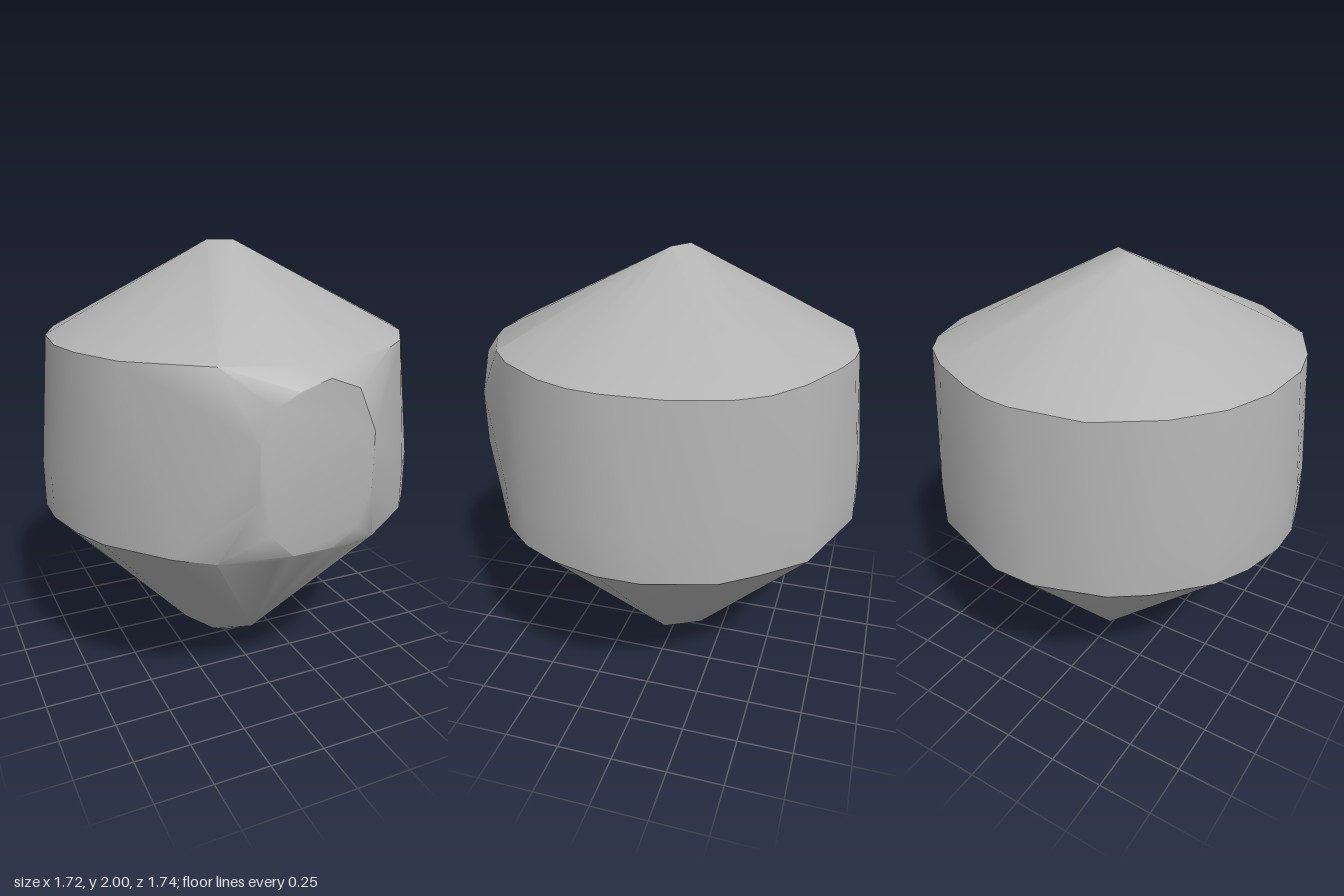
import * as THREE from 'three';
import { ConvexGeometry } from 'three/addons/geometries/ConvexGeometry.js';
import { toCreasedNormals } from 'three/addons/utils/BufferGeometryUtils.js';

// places an [x, z] outline at height y
const ring = (outline, y) => outline.map(([x, z]) => new THREE.Vector3(x, y, z));

export function createModel() {
  const grey = new THREE.MeshStandardMaterial({ color: 0xb4b4b4 });
  grey.name = 'grey';

  // rim under the upper cone
  const rim = [
    [0.8, 0.06], [0.79, -0.2], [0.72, -0.43], [0.64, -0.55], [0.49, -0.66], [0.25, -0.77],
    [0.12, -0.81], [0, -0.82], [-0.32, -0.77], [-0.56, -0.6], [-0.71, -0.41], [-0.79, -0.2],
    [-0.81, 0.06], [-0.77, 0.25], [-0.66, 0.48], [-0.36, 0.73], [-0.12, 0.8], [0.12, 0.8],
    [0.24, 0.77], [0.44, 0.67], [0.57, 0.56], [0.72, 0.35], [0.78, 0.2],
  ];
  // belly outline, open at the front
  const belly = [
    [0.6, 0.6], [0.72, 0.46], [0.8, 0.3], [0.855, 0.09], [0.855, -0.1], [0.77, -0.4],
    [0.66, -0.55], [0.51, -0.72], [0.1, -0.87], [-0.1, -0.87], [-0.4, -0.77], [-0.54, -0.67],
    [-0.73, -0.47], [-0.81, -0.31], [-0.86, -0.11], [-0.86, 0.06], [-0.81, 0.26],
    [-0.74, 0.42], [-0.53, 0.67],
  ];
  const bellyFront = [[-0.38, 0.76], [-0.15, 0.83], [0, 0.845], [0.15, 0.83], [0.33, 0.78]];

  // flat oval facet on the front
  const oval = [
    [-0.09, 1.51], [0.04, 1.55], [0.17, 1.5], [0.25, 1.32], [0.25, 1.07], [0.19, 0.92],
    [0.08, 0.85], [-0.1, 0.85], [-0.2, 0.95], [-0.25, 1.1], [-0.25, 1.32], [-0.19, 1.46],
  ].map(([x, y]) => new THREE.Vector3(x, y, 0.867));

  // blunt tips
  const tips = [
    [-0.07, 2, -0.05], [0.035, 2, 0.01],
    [0.2, 0.11, 0], [-0.22, 0.14, 0], [-0.07, 0.03, 0], [0.07, 0.03, 0],
    [0, 0.2, 0.31], [0, 0, -0.01], [0, 0.02, -0.14],
  ].map((p) => new THREE.Vector3(...p));

  // skin stretched over all outlines, sharp only at the two rims
  const skin = new ConvexGeometry([
    ...ring(rim, 1.6), ...ring(belly, 1.04), ...ring(belly, 0.83),
    ...ring(bellyFront, 0.82), ...oval, ...tips,
  ]);
  const body = new THREE.Mesh(toCreasedNormals(skin, 0.6), grey);
  body.name = 'body';

  const group = new THREE.Group();
  group.name = 'doubleConeBody';
  group.add(body);
  return group;
}
